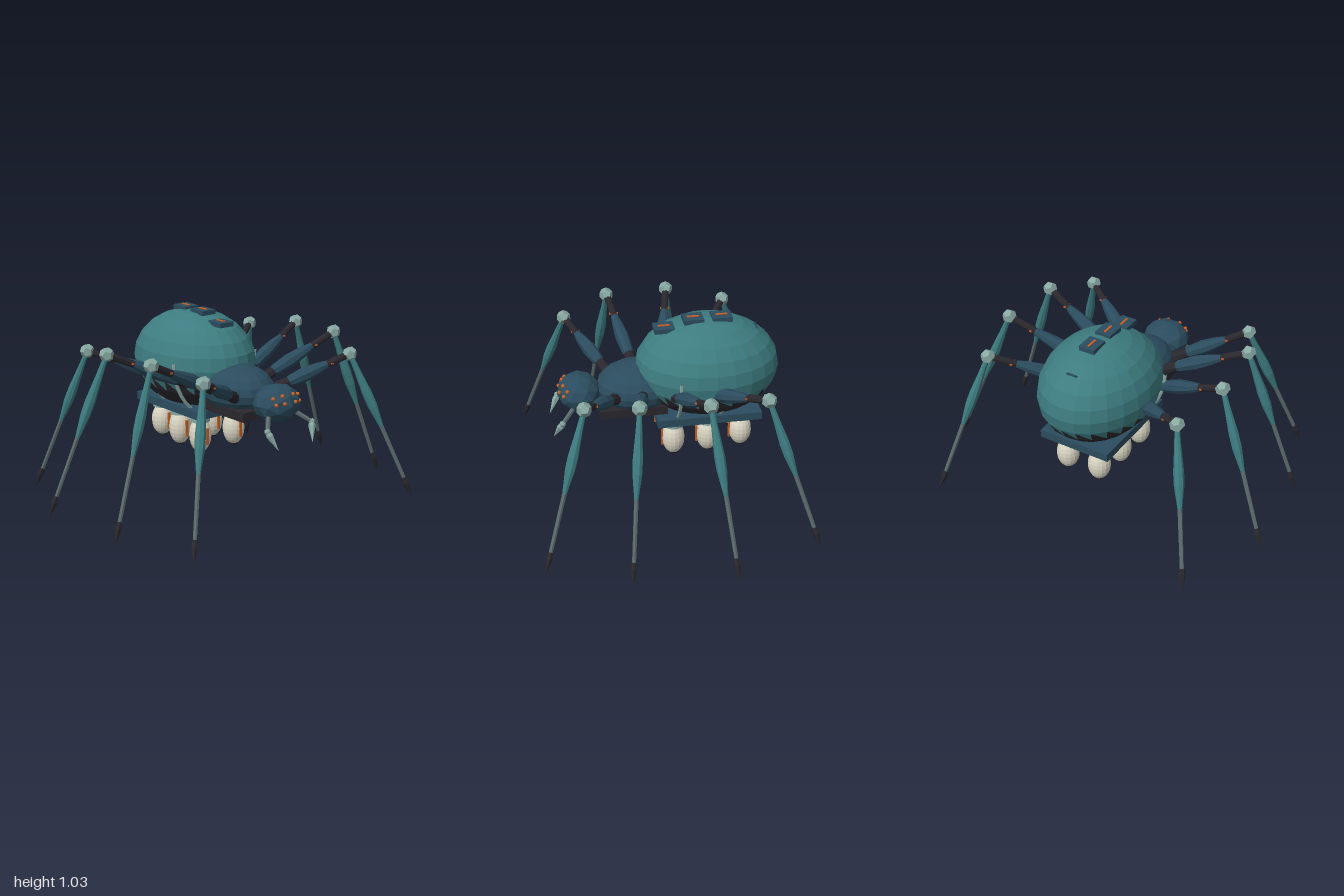
import * as THREE from 'three';

const mat = (name, color) => Object.assign(new THREE.MeshStandardMaterial({ color, flatShading: true }), { name });

export function createModel() {
  const teal = mat('teal shell', 0x3d7c80);
  const navy = mat('dark blue armour', 0x2b4c5e);
  const black = mat('charcoal', 0x2a272d);
  const pale = mat('pale green metal', 0x88a8a2);
  const cream = mat('cream', 0xd9d5c3);
  const orange = mat('orange', 0xc4622a);
  const grey = mat('grey strut', 0x5b6a6c);

  const root = new THREE.Group();
  root.name = 'mechanicalSpider';
  const V = (x, y, z) => new THREE.Vector3(x, y, z);

  const add = (parent, name, geo, material, x = 0, y = 0, z = 0) => {
    const m = new THREE.Mesh(geo, material);
    m.name = name;
    m.position.set(x, y, z);
    parent.add(m);
    return m;
  };
  const box = (parent, name, w, h, d, material, x, y, z) =>
    add(parent, name, new THREE.BoxGeometry(w, h, d), material, x, y, z);

  // Tapered piece between two points; profile is a list of [fraction, radius]
  const limb = (parent, name, a, b, profile, material, sides = 8) => {
    const len = a.distanceTo(b);
    const geo = new THREE.LatheGeometry(profile.map(([t, r]) => new THREE.Vector2(r, t * len)), sides);
    const m = add(parent, name, geo, material, a.x, a.y, a.z);
    m.quaternion.setFromUnitVectors(V(0, 1, 0), b.clone().sub(a).normalize());
    return m;
  };

  // Abdomen: facets below the waist take the dark colour, giving a saw-tooth edge
  const shell = new THREE.SphereGeometry(1, 24, 12).toNonIndexed();
  shell.scale(0.31, 0.28, 0.4);
  const p = shell.attributes.position;
  for (let i = 0; i < p.count; i += 3) {
    const cy = (p.getY(i) + p.getY(i + 1) + p.getY(i + 2)) / 3;
    shell.addGroup(i, 3, cy < -0.105 ? 1 : 0);
  }
  add(root, 'abdomen', shell, [teal, black], 0, 0.75, -0.26);

  // Back plates with glowing slots
  [[-0.02, 0.985], [-0.18, 1.027], [-0.337, 1.027]].forEach(([z, y]) => {
    box(root, 'backPlate', 0.092, 0.026, 0.11, navy, 0, y, z);
    box(root, 'backPlateSlot', 0.012, 0.008, 0.065, orange, 0, y + 0.014, z);
  });
  box(root, 'rearSeam', 0.06, 0.012, 0.008, navy, 0, 0.955, -0.53);

  // Thorax, belly plate and head
  const thorax = new THREE.SphereGeometry(1, 16, 10);
  thorax.scale(0.19, 0.135, 0.225);
  add(root, 'thorax', thorax, navy, 0, 0.65, 0.13);
  box(root, 'thoraxPlate', 0.3, 0.05, 0.375, black, 0, 0.555, 0.168);
  const head = new THREE.IcosahedronGeometry(1, 1);
  head.scale(0.135, 0.105, 0.12);
  add(root, 'head', head, navy, 0, 0.637, 0.452);

  // Cargo platform
  box(root, 'cargoPlatform', 0.42, 0.045, 0.58, navy, 0, 0.502, -0.245);

  // Hoops under the abdomen
  for (const z of [-0.07, -0.31]) {
    const pts = [];
    for (let i = 0; i <= 16; i++) {
      const a = Math.PI * (1 + i / 16);
      pts.push(V(0.287 * Math.cos(a), 0.79 + 0.34 * Math.sin(a), z));
    }
    add(root, 'supportHoop', new THREE.TubeGeometry(new THREE.CatmullRomCurve3(pts), 24, 0.01, 6), pale);
  }

  // Pods: [x, z, half height]
  const pods = [[0.12, -0.055, 0.1], [0.115, -0.25, 0.1], [0.1, -0.44, 0.093]];
  const legs = [ // hip, knee, foot
    [V(0.12, 0.64, 0.255), V(0.508, 0.83, 0.475), V(0.775, 0.01, 0.735)],
    [V(0.12, 0.645, 0.115), V(0.636, 0.89, 0.21), V(0.945, 0.01, 0.3)],
    [V(0.14, 0.64, -0.03), V(0.668, 0.885, -0.147), V(1, 0.01, -0.25)],
    [V(0.14, 0.645, -0.175), V(0.583, 0.832, -0.47), V(0.79, 0.01, -0.74)],
  ];

  for (const s of [1, -1]) {
    const side = new THREE.Group();
    side.name = s > 0 ? 'leftSide' : 'rightSide';
    root.add(side);
    const M = (v) => V(v.x * s, v.y, v.z);

    for (const [x, z, h] of pods) {
      const egg = new THREE.SphereGeometry(1, 16, 12);
      egg.scale(0.063, h, 0.063);
      add(side, 'pod', egg, cream, x * s, 0.36, z);
      add(side, 'podCollar', new THREE.CylinderGeometry(0.054, 0.054, 0.026, 14), pale, x * s, 0.452, z);
      add(side, 'podNeck', new THREE.CylinderGeometry(0.03, 0.03, 0.03, 10), black, x * s, 0.473, z);
      add(side, 'podCap', new THREE.CylinderGeometry(0.026, 0.022, 0.012, 10), black, x * s, 0.365 - h, z);
      box(side, 'podLight', 0.015, 0.095, 0.009, orange, x * s, 0.363, z + 0.064);
    }

    // Eyes set on the front of the head
    for (const [x, y] of [[0.037, 0.697], [0.037, 0.659], [0.085, 0.686], [0.08, 0.655]]) {
      const z = 0.447 + 0.12 * Math.sqrt(1 - (x / 0.135) ** 2 - ((y - 0.637) / 0.105) ** 2);
      add(side, 'eye', new THREE.IcosahedronGeometry(0.011, 1), orange, x * s, y, z);
    }

    // Fangs
    const joint = M(V(0.155, 0.53, 0.56));
    limb(side, 'fangArm', M(V(0.085, 0.59, 0.485)), joint, [[0, 0.014], [1, 0.012]], grey, 6);
    add(side, 'fangJoint', new THREE.DodecahedronGeometry(0.018), pale, joint.x, joint.y, joint.z);
    limb(side, 'fang', joint, M(V(0.118, 0.43, 0.61)), [[0, 0.012], [0.2, 0.02], [1, 0]], pale, 6);

    for (const [h, k, f] of legs) {
      const leg = new THREE.Group();
      leg.name = 'leg';
      side.add(leg);
      const hip = M(h), knee = M(k), foot = M(f);
      limb(leg, 'upperRod', hip, knee, [[0, 0.034], [0.24, 0.028], [0.3, 0.02], [1, 0.02]], black);
      limb(leg, 'thighArmour', hip, knee,
        [[0.2, 0.018], [0.27, 0.033], [0.45, 0.04], [0.6, 0.032], [0.72, 0.02]], navy);
      for (const t of [0.2, 0.75]) {
        const c = hip.clone().lerp(knee, t);
        box(leg, 'legLight', 0.014, 0.009, 0.05, orange, c.x, c.y, c.z);
      }
      add(leg, 'knee', new THREE.DodecahedronGeometry(0.041), pale, knee.x, knee.y, knee.z);
      limb(leg, 'shinArmour', knee, foot,
        [[0, 0.013], [0.12, 0.018], [0.28, 0.028], [0.36, 0.027], [0.52, 0.01]], teal);
      limb(leg, 'shinRod', knee, foot, [[0.4, 0.013], [0.9, 0.011]], grey, 6);
      limb(leg, 'claw', knee, foot, [[0.855, 0], [0.86, 0.014], [0.9, 0.019], [1, 0]], black, 6);
    }
  }
  return root;
}
